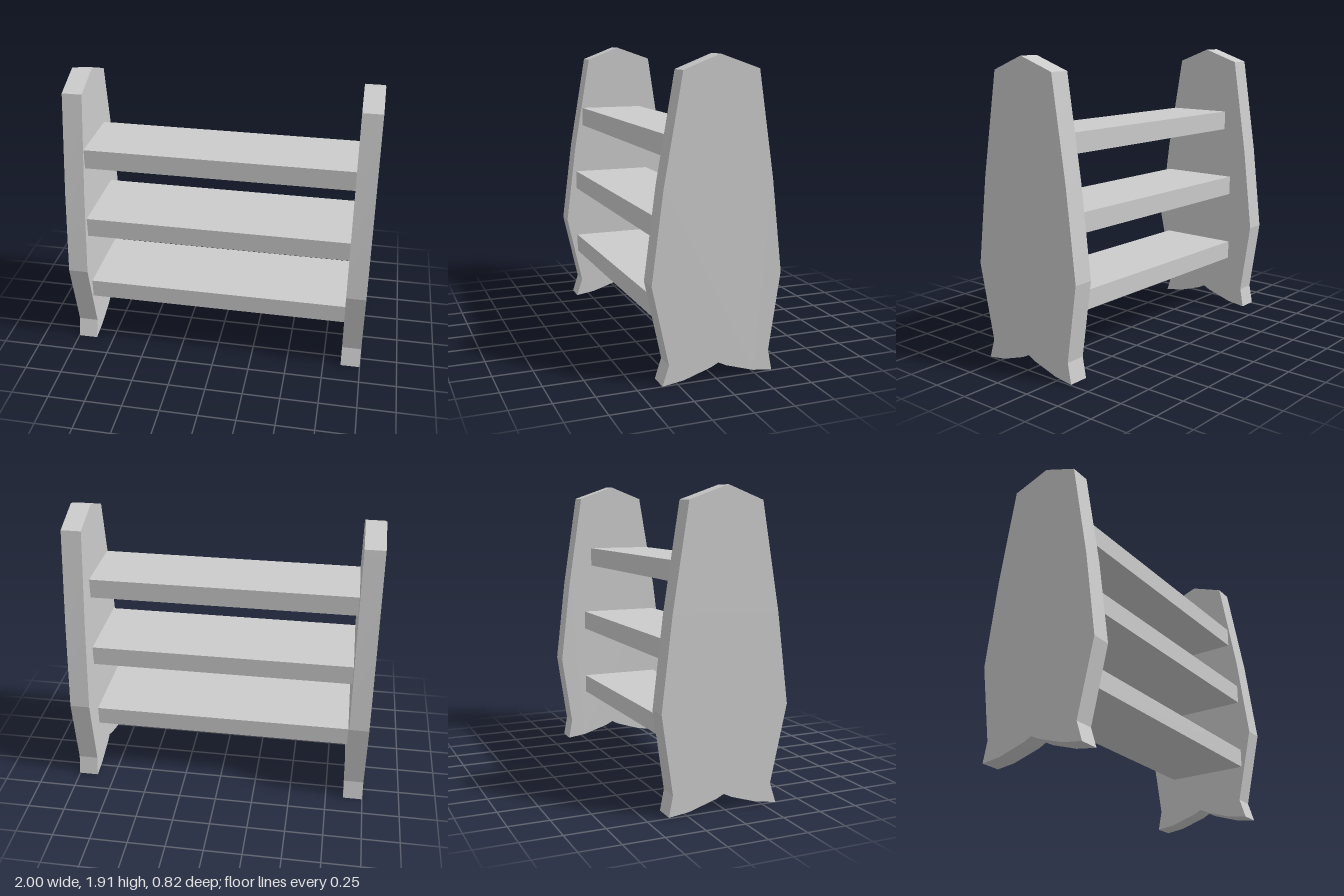
import * as THREE from 'three';
import { toCreasedNormals } from 'three/addons/utils/BufferGeometryUtils.js';

const THICK = 0.13;

// Outline of an end panel as [z, y]
const OUTLINE = [
  [0.345, 0], [0.21, 0.02], [0.04, 0.075], [-0.01, 0.1], [-0.06, 0.075], [-0.24, 0.02], [-0.365, 0.005],
  [-0.34, 0.135], [-0.412, 0.62], [-0.345, 1.19], [-0.245, 1.83], [0, 1.915],
  [0.225, 1.828], [0.34, 1.17], [0.412, 0.61], [0.305, 0.125],
];

export function createModel() {
  const group = new THREE.Group();
  const material = new THREE.MeshStandardMaterial({ color: 0xcccccc });

  // End panels: the outline extruded across x
  const shape = new THREE.Shape(OUTLINE.map(([z, y]) => new THREE.Vector2(z, y)));
  const extruded = new THREE.ExtrudeGeometry(shape, { depth: THICK, bevelEnabled: false });
  extruded.rotateY(-Math.PI / 2).translate(THICK / 2, 0, 0);
  const panelGeometry = toCreasedNormals(extruded, 0.2);
  for (const [name, side, height] of [['leftPanel', 1, 1], ['rightPanel', -1, 0.995]]) {
    const panel = new THREE.Mesh(panelGeometry, material);
    panel.name = name;
    panel.position.x = side * (1 - THICK / 2);
    panel.scale.y = height;
    group.add(panel);
  }

  // Shelves between the panels; the top one is shallower
  const shelves = [
    ['bottomShelf', 0.36, 0.485, -0.225, 0.335],
    ['middleShelf', 0.85, 0.98, -0.225, 0.335],
    ['topShelf', 1.33, 1.46, -0.17, 0.28],
  ];
  for (const [name, y0, y1, z0, z1] of shelves) {
    const shelf = new THREE.Mesh(new THREE.BoxGeometry(2 - 2 * THICK, y1 - y0, z1 - z0), material);
    shelf.name = name;
    shelf.position.set(0, (y0 + y1) / 2, (z0 + z1) / 2);
    group.add(shelf);
  }
  return group;
}
